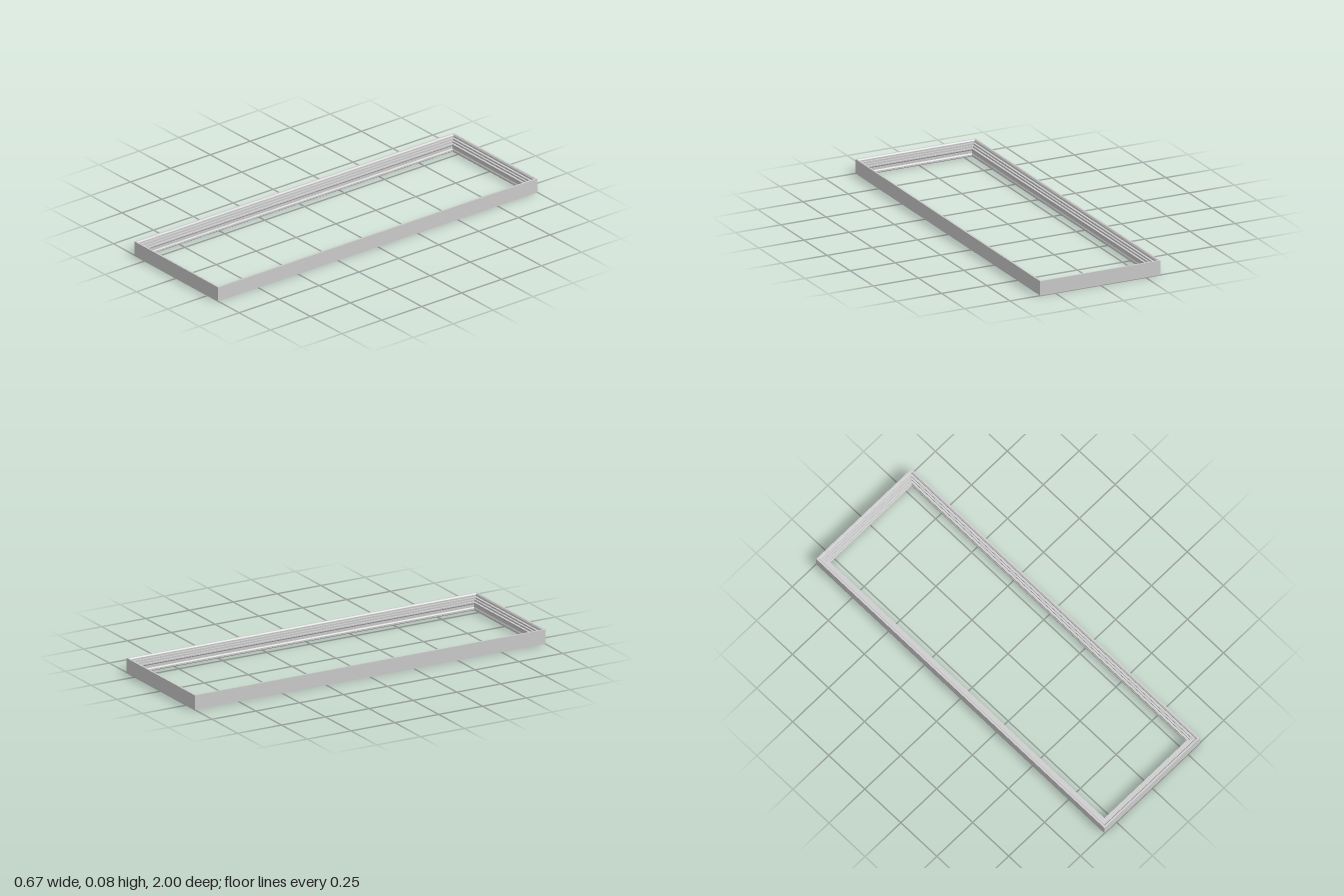
import * as THREE from 'three';

const HALF_X = 0.333, HALF_Z = 1;

// Rail cross-section: x is the distance inward from the outer face, y is up
const PROFILE = [
  [0, 0], [0.041, 0], [0.045, 0.004], [0.045, 0.012], [0.041, 0.018],
  [0.041, 0.032], [0.045, 0.038], [0.045, 0.043], [0.034, 0.043],
  [0.034, 0.052], [0.025, 0.052], [0.025, 0.061], [0.014, 0.061],
  [0.014, 0.069], [0.009, 0.075], [0, 0.075],
];

// Extrudes the profile and cuts both ends at 45 degrees
function mitredRail(halfLength) {
  const shape = new THREE.Shape(PROFILE.map(([x, y]) => new THREE.Vector2(x, y)));
  const geometry = new THREE.ExtrudeGeometry(shape, { depth: 2, bevelEnabled: false });
  geometry.translate(0, 0, -1);
  const p = geometry.attributes.position;
  for (let i = 0; i < p.count; i++) p.setZ(i, p.getZ(i) * (halfLength - p.getX(i)));
  geometry.computeVertexNormals();
  return geometry;
}

export function createModel() {
  const group = new THREE.Group();
  group.name = 'frame';
  const material = new THREE.MeshStandardMaterial({ color: 0xcccccc, flatShading: true });
  const longRail = mitredRail(HALF_Z);
  const shortRail = mitredRail(HALF_X);

  // Four rails, each turned so its profile faces the opening
  const rails = [
    ['rightRail', longRail, -HALF_X, 0, 0],
    ['leftRail', longRail, HALF_X, 0, Math.PI],
    ['frontRail', shortRail, 0, HALF_Z, Math.PI / 2],
    ['backRail', shortRail, 0, -HALF_Z, -Math.PI / 2],
  ];
  for (const [name, geometry, x, z, turn] of rails) {
    const rail = new THREE.Mesh(geometry, material);
    rail.name = name;
    rail.position.set(x, 0, z);
    rail.rotation.y = turn;
    group.add(rail);
  }
  return group;
}
